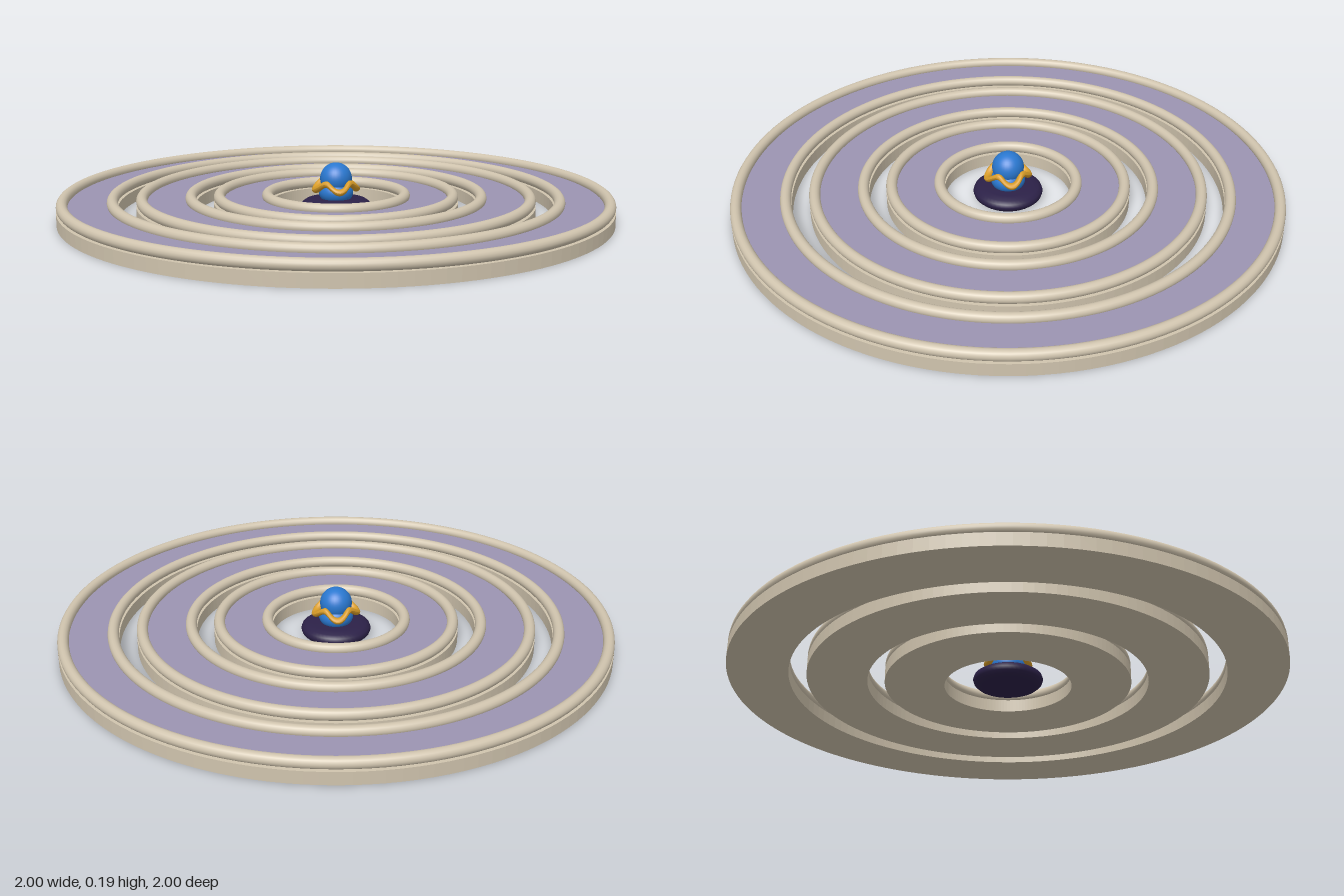
import * as THREE from 'three';

const mat = (name, color, side = THREE.FrontSide) => {
  const m = new THREE.MeshStandardMaterial({ color, side });
  m.name = name;
  return m;
};

export function createModel() {
  const stone = mat('pale stone', 0xd0c4ae);
  const lilac = mat('lilac', 0x9c94b2);
  const dark = mat('dark violet', 0x2c2148);
  const blue = mat('blue', 0x2a78d0);
  const gold = mat('gold', 0xd89c28);

  const model = new THREE.Group();
  const add = (parent, name, geometry, material, y = 0) => {
    const mesh = new THREE.Mesh(geometry, material);
    mesh.name = name;
    mesh.position.y = y;
    parent.add(mesh);
    return mesh;
  };

  // Flat ring: an annulus extruded upwards
  const annulus = (inner, outer, height) => {
    const shape = new THREE.Shape().absarc(0, 0, outer, 0, Math.PI * 2);
    shape.holes.push(new THREE.Path().absarc(0, 0, inner, 0, Math.PI * 2, true));
    return new THREE.ExtrudeGeometry(shape, { depth: height, bevelEnabled: false, curveSegments: 64 })
      .rotateX(-Math.PI / 2);
  };

  // Three concentric platforms: slab, inlaid floor and two rounded rims
  const rim = 0.02;
  const platforms = [['outer', 0.785, 1], ['middle', 0.507, 0.722], ['inner', 0.23, 0.445]];
  for (const [label, inner, outer] of platforms) {
    const platform = new THREE.Group();
    platform.name = label + 'Platform';
    model.add(platform);
    add(platform, 'slab', annulus(inner, outer, 0.046), stone);
    add(platform, 'floor', annulus(inner + rim, outer - rim, 0.009), lilac, 0.049);
    for (const [name, r] of [['innerRim', inner + rim], ['outerRim', outer - rim]]) {
      add(platform, name, new THREE.TorusGeometry(r, rim, 16, 128).rotateX(-Math.PI / 2), stone, 0.066);
    }
  }

  // Rounded dark base in the middle
  const centre = new THREE.Group();
  centre.name = 'centrepiece';
  model.add(centre);
  const profile = [[0, 0], [0.095, 0], [0.112, 0.005], [0.123, 0.015], [0.127, 0.027],
    [0.123, 0.039], [0.11, 0.048], [0.085, 0.054], [0, 0.056]]
    .map(([x, y]) => new THREE.Vector2(x, y));
  add(centre, 'base', new THREE.LatheGeometry(profile, 48), dark);

  // Blue body and head
  add(centre, 'body', new THREE.SphereGeometry(0.063, 32, 20).scale(1, 0.75, 1), blue, 0.077);
  add(centre, 'head', new THREE.SphereGeometry(0.058, 32, 24), blue, 0.127);

  // Wavy collar: four lobes flare out and droop on the diagonals
  const collar = new THREE.TorusGeometry(0.06, 0.012, 14, 96).rotateX(-Math.PI / 2);
  const p = collar.attributes.position;
  for (let i = 0; i < p.count; i++) {
    const angle = Math.atan2(p.getZ(i), p.getX(i));
    const lobe = Math.sin(angle * 2) ** 2;
    const spread = 1 + 0.24 * lobe;
    p.setXYZ(i, p.getX(i) * spread, p.getY(i) - 0.026 * lobe, p.getZ(i) * spread);
  }
  collar.computeVertexNormals();
  add(centre, 'collar', collar, gold, 0.113);

  return model;
}
